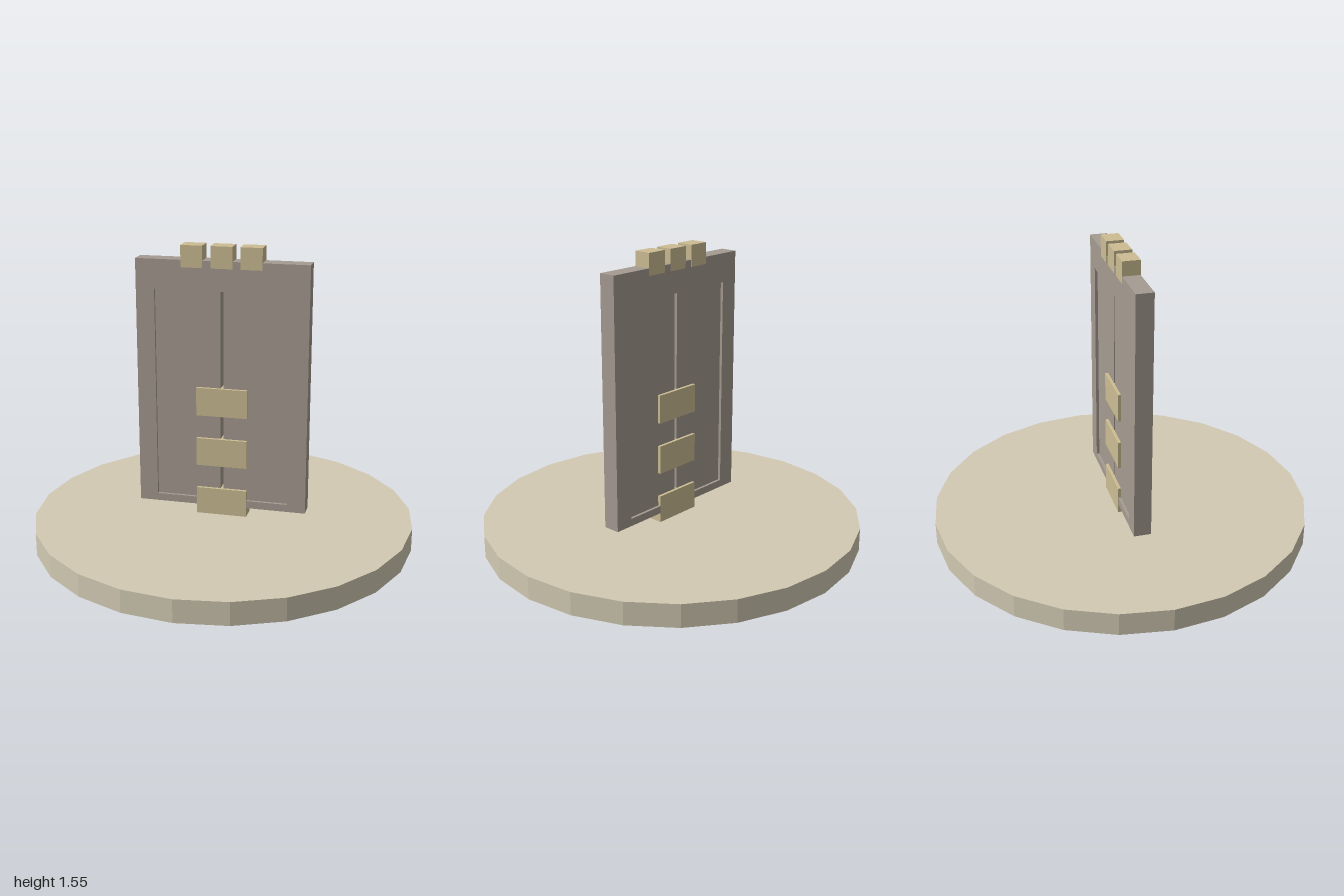
import * as THREE from 'three';

export function createModel() {
  const model = new THREE.Group();
  const mat = (name, color) => {
    const m = new THREE.MeshStandardMaterial({ color });
    m.name = name;
    return m;
  };
  const stone = mat('pale stone', 0xd2cab3);
  const slate = mat('warm grey', 0xa59b91);
  const tan = mat('tan', 0xcdbd94);

  const add = (name, geometry, material, x, y, z = 0) => {
    const mesh = new THREE.Mesh(geometry, material);
    mesh.name = name;
    mesh.position.set(x, y, z);
    model.add(mesh);
  };
  const box = (name, w, h, d, material, x, y) =>
    add(name, new THREE.BoxGeometry(w, h, d), material, x, y);

  // Round faceted base
  const base = new THREE.CylinderGeometry(1, 1, 0.12, 24).toNonIndexed();
  base.computeVertexNormals();
  add('base', base, stone, 0, 0.06);

  // Door frame with a rectangular opening
  const rect = (path, x, y0, y1) => {
    path.moveTo(-x, y0);
    path.lineTo(x, y0);
    path.lineTo(x, y1);
    path.lineTo(-x, y1);
    path.closePath();
    return path;
  };
  const outline = rect(new THREE.Shape(), 0.447, 0.17, 1.478);
  outline.holes.push(rect(new THREE.Path(), 0.35, 0.21, 1.325));
  const frame = new THREE.ExtrudeGeometry(outline, { depth: 0.09, bevelEnabled: false });
  add('frame', frame, slate, 0, 0, -0.045);

  // Two recessed door leaves with a narrow gap between them
  for (const side of [-1, 1]) {
    box('doorLeaf', 0.342, 1.115, 0.06, slate, side * 0.179, 0.7675);
  }

  // Cross blocks bridging the gap, the lowest standing on the base
  for (const y of [0.19, 0.467, 0.742]) {
    box('crossBlock', 0.268, 0.15, 0.092, tan, 0, y);
  }

  // Three blocks set along the top edge
  for (const x of [-0.154, 0, 0.152]) {
    box('topBlock', 0.112, 0.112, 0.092, tan, x, 1.497);
  }

  return model;
}
